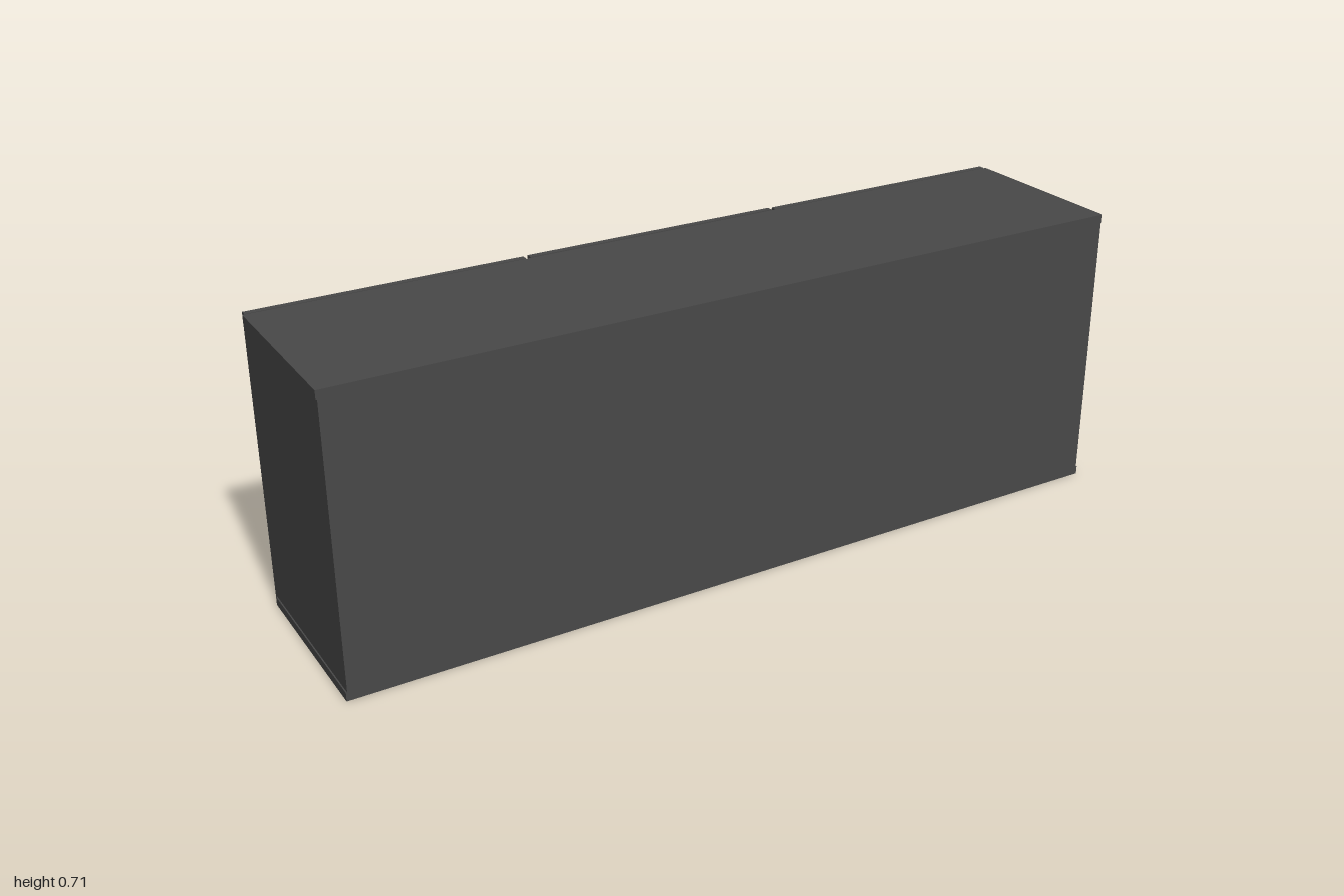
import * as THREE from 'three';

export function createModel() {
  const model = new THREE.Group();
  const wood = new THREE.MeshStandardMaterial({ color: 0x484848 });
  const metal = new THREE.MeshStandardMaterial({ color: 0x565656 });

  // Box given by its min and max corners
  const board = (name, [x0, y0, z0], [x1, y1, z1], material = wood) => {
    const mesh = new THREE.Mesh(new THREE.BoxGeometry(x1 - x0, y1 - y0, z1 - z0), material);
    mesh.position.set((x0 + x1) / 2, (y0 + y1) / 2, (z0 + z1) / 2);
    mesh.name = name;
    model.add(mesh);
  };

  const T = 0.021, H = 0.71, back = 0.239, front = -0.204;
  const doorIn = -0.207, doorOut = -0.222, grip = -0.238;

  // Carcass
  board('topBoard', [-1, H - T, front], [1, H, back]);
  board('bottomBoard', [-1, 0, front], [1, T, back]);
  board('backPanel', [-0.997, T, back - 0.012], [0.997, H - T, back]);

  for (const s of [-1, 1]) {
    const side = s > 0 ? 'left' : 'right';
    const span = (name, a, b, y0, y1, z0, z1, material) =>
      board(side + name, [Math.min(s * a, s * b), y0, z0], [Math.max(s * a, s * b), y1, z1], material);
    span('SidePanel', 0.977, 0.997, T, H - T, front, back - 0.012);
    span('Divider', 0.325, 0.345, T, H - T, front, back - 0.012);
    // Doors and their upright handles
    span('Door', 0.339, 0.995, 0.001, H, doorOut, doorIn);
    span('DoorHandle', 0.355, 0.367, 0.28, 0.44, grip, doorOut, metal);
  }

  // Three stacked drawer fronts with level handles
  const pitch = 0.237;
  for (let i = 0; i < 3; i++) {
    const y = 0.002 + i * pitch;
    board('drawerFront', [-0.328, y, doorOut], [0.328, y + pitch - 0.002, doorIn]);
    const h = 0.194 + i * 0.233;
    board('drawerHandle', [-0.075, h, grip], [0.075, h + 0.012, doorOut], metal);
  }
  return model;
}
